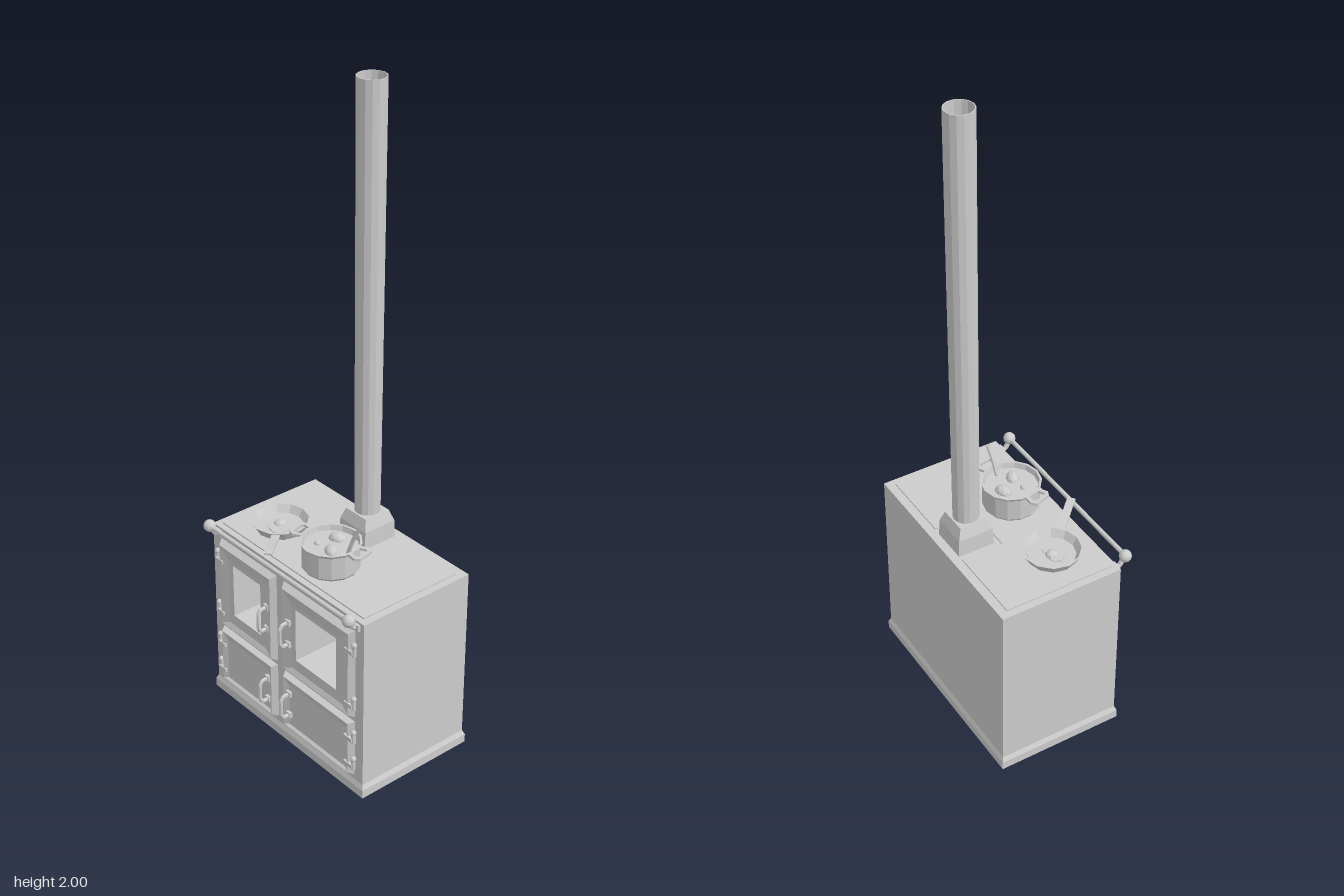
import * as THREE from 'three';

const iron = new THREE.MeshStandardMaterial({ color: 0xcccccc, side: THREE.DoubleSide, flatShading: true });
iron.name = 'grey iron';

// Skin through rectangles [x0, x1, y0, y1, z]; optional cap on the last one
function rectLoft(rows, cap) {
  const loops = rows.map(([a, b, c, d, z]) => [[a, c, z], [b, c, z], [b, d, z], [a, d, z]]);
  const p = [];
  const quad = (a, b, c, d) => p.push(...a, ...b, ...c, ...a, ...c, ...d);
  for (let i = 0; i < loops.length - 1; i++)
    for (let j = 0; j < 4; j++) {
      const k = (j + 1) % 4;
      quad(loops[i][j], loops[i][k], loops[i + 1][k], loops[i + 1][j]);
    }
  if (cap) quad(...loops[loops.length - 1]);
  const g = new THREE.BufferGeometry();
  g.setAttribute('position', new THREE.Float32BufferAttribute(p, 3));
  g.computeVertexNormals();
  return g;
}

function shapeOf(points, Type = THREE.Shape) {
  return new Type(points.map(([x, y]) => new THREE.Vector2(x, y)));
}
const rect = (x0, x1, y0, y1) => [[x0, y0], [x1, y0], [x1, y1], [x0, y1]];

function extrude(points, depth, holes = []) {
  const s = shapeOf(points);
  s.holes = holes.map(h => shapeOf(h, THREE.Path));
  return new THREE.ExtrudeGeometry(s, { depth, bevelEnabled: false });
}

function lathe(points, sides) {
  return new THREE.LatheGeometry(points.map(([r, y]) => new THREE.Vector2(r, y)), sides);
}

function tube(points, radius, sides = 6) {
  const path = new THREE.CurvePath();
  const v = points.map(q => new THREE.Vector3(...q));
  for (let i = 1; i < v.length; i++) path.add(new THREE.LineCurve3(v[i - 1], v[i]));
  return new THREE.TubeGeometry(path, (v.length - 1) * 6, radius, sides);
}

export function createModel() {
  const model = new THREE.Group();
  model.name = 'stove';
  const add = (name, geo, x = 0, y = 0, z = 0, parent = model) => {
    const m = new THREE.Mesh(geo, iron);
    m.name = name;
    m.position.set(x, y, z);
    parent.add(m);
    return m;
  };
  const box = (name, x0, x1, y0, y1, z0, z1) =>
    add(name, new THREE.BoxGeometry(x1 - x0, y1 - y0, z1 - z0), (x0 + x1) / 2, (y0 + y1) / 2, (z0 + z1) / 2);

  // Hollow body, open underneath
  const X = 0.343, ZB = -0.22, ZF = 0.172, H = 0.6;
  const windows = [[-0.238, -0.108, 0.325, 0.503], [0.055, 0.235, 0.325, 0.503]];
  box('backWall', -X, X, 0.01, H, ZB, ZB + 0.008);
  for (const s of [-1, 1]) {
    const a = s * X, b = s * (X - 0.008);
    box('sideWall', Math.min(a, b), Math.max(a, b), 0.01, H, ZB, ZF);
  }
  add('frontWall', extrude(rect(-X, X, 0.01, H), 0.008, windows.map(w => rect(...w))), 0, 0, ZF - 0.008);
  box('topSlab', -X, X, H - 0.01, H, ZB, ZF);

  // Flared plinth
  add('plinth', rectLoft([
    [-0.34, 0.34, -0.17, 0.217, 0], [-0.35, 0.35, -0.178, 0.226, 0],
    [-0.35, 0.35, -0.178, 0.226, 0.027], [-X, X, -ZF, -ZB, 0.042],
  ])).rotation.x = -Math.PI / 2;

  // Cooking plate, notched around the flue
  add('cookingPlate', extrude([[-0.32, -0.153], [0.32, -0.153], [0.32, 0.193], [0.08, 0.193],
    [0.08, 0.06], [-0.075, 0.06], [-0.075, 0.193], [-0.32, 0.193]], 0.004), 0, H, 0).rotation.x = -Math.PI / 2;

  // Bevelled doors: upper ones open into an oven, lower ones are closed
  const zDoor = 0.19;
  [[-0.305, -0.042], [-0.008, 0.308]].forEach(([x0, x1], i) => {
    const w = windows[i];
    add('ovenDoor', rectLoft([
      [x0, x1, 0.265, 0.566, ZF], [x0 + 0.012, x1 - 0.012, 0.275, 0.553, zDoor],
      [x0 + 0.045, x1 - 0.045, 0.29, 0.515, zDoor - 0.008],
      [...w, zDoor - 0.008], [...w, -0.19],
    ], true));
    add('lowerDoor', rectLoft([
      [x0, x1, 0.06, 0.25, ZF], [x0 + 0.012, x1 - 0.012, 0.068, 0.243, zDoor],
      [x0 + 0.03, x1 - 0.03, 0.075, 0.217, zDoor - 0.008],
    ], true));
    // Compartment behind the lower door
    box('lowerCompartment', x0 + 0.005, x1 - 0.005, 0.07, 0.24, -0.16, ZF - 0.008);

    // Handles and hinges
    const hx = i ? 0.026 : -0.074, side = i ? 1 : -1;
    for (const y of [0.408, 0.152]) {
      add('doorHandle', tube([[0, -0.038, 0.175], [0, -0.038, 0.208], [0, -0.026, 0.217],
        [0, 0.026, 0.217], [0, 0.038, 0.208], [0, 0.038, 0.175]], 0.006), hx, y, 0);
      for (const e of [-0.038, 0.038])
        add('handleFoot', new THREE.BoxGeometry(0.018, 0.018, 0.012), hx, y + e, 0.186);
    }
    for (const y of [0.503, 0.318, 0.2, 0.106]) {
      add('hingePin', new THREE.CylinderGeometry(0.007, 0.007, 0.036, 8), side * 0.313, y, 0.182);
      add('hingeCap', new THREE.SphereGeometry(0.009, 8, 6), side * 0.313, y + 0.018, 0.182);
      add('hingeArm', new THREE.BoxGeometry(0.034, 0.012, 0.012), side * 0.297, y - 0.006, 0.186);
    }
  });

  // Towel rail with ball ends
  const rail = add('towelRail', new THREE.CylinderGeometry(0.007, 0.007, 0.62, 10), 0, 0.616, 0.205);
  rail.rotation.z = Math.PI / 2;
  for (const s of [-1, 1]) {
    add('railBall', new THREE.SphereGeometry(0.019, 14, 10), s * 0.316, 0.616, 0.205);
    add('railBracket', tube([[0, 0.583, 0.168], [0, 0.585, 0.188], [0, 0.612, 0.205]], 0.008), s * 0.313, 0, 0);
    add('bracketFoot', new THREE.BoxGeometry(0.03, 0.02, 0.01), s * 0.313, 0.583, 0.176);
  }

  // Flue collar and open chimney pipe
  const flue = [[0.058, H], [0.056, 0.655], [0.044, 0.69], [0.036, 0.69]];
  add('flueCollar', rectLoft(flue.map(([r, y]) => [-r, r, 0.135 - r, 0.135 + r, y]), true)).rotation.x = -Math.PI / 2;
  add('chimneyPipe', lathe([[0.039, 0.685], [0.043, 2], [0.04, 2], [0.036, 0.7]], 14), 0, 0, -0.135);

  // Frying pan with an egg
  const pan = new THREE.Group();
  pan.name = 'fryingPan';
  pan.position.set(-0.193, H + 0.004, 0.036);
  model.add(pan);
  add('panBowl', lathe([[0, 0], [0.074, 0], [0.091, 0.029], [0.084, 0.029], [0.07, 0.006], [0, 0.006]], 12), 0, 0, 0, pan);
  const white = extrude([[0.04, 0], [0.032, 0.024], [0, 0.03], [-0.03, 0.026], [-0.042, 0.004],
    [-0.028, -0.022], [-0.004, -0.032], [0.024, -0.036], [0.042, -0.024]], 0.003);
  add('eggWhite', white, 0, 0.006, 0.008, pan).rotation.x = -Math.PI / 2;
  add('eggYolk', new THREE.SphereGeometry(0.02, 8, 6), -0.005, 0.008, -0.003, pan).scale.y = 0.6;
  const grip = new THREE.Group();
  grip.name = 'panHandle';
  grip.rotation.y = -0.84;
  pan.add(grip);
  const bar = extrude([[0.082, 0.018], [0.11, 0.02], [0.19, 0.035], [0.212, 0.036],
    [0.212, 0.042], [0.188, 0.041], [0.11, 0.027], [0.084, 0.026]], 0.024);
  add('panHandleBar', bar, 0, 0, -0.012, grip);

  // Cooking pot with food and spoon
  const pot = new THREE.Group();
  pot.name = 'cookingPot';
  pot.position.set(0.063, H + 0.004, 0.056);
  model.add(pot);
  add('potBowl', lathe([[0, 0], [0.08, 0], [0.086, 0.008], [0.086, 0.078], [0.091, 0.087],
    [0.084, 0.087], [0.08, 0.07], [0, 0.07]], 14), 0, 0, 0, pot);
  for (const turn of [0.2, Math.PI + 0.27]) {
    const ear = extrude([[0.083, -0.028], [0.112, -0.036], [0.126, -0.026], [0.126, 0.026], [0.112, 0.036], [0.083, 0.028]],
      0.008, [[[0.09, -0.018], [0.11, -0.024], [0.116, -0.018], [0.116, 0.018], [0.11, 0.024], [0.09, 0.018]]]);
    ear.rotateX(-Math.PI / 2);
    add('potHandle', ear, 0, 0.08, 0, pot).rotation.y = turn;
  }
  for (const [x, z, r, turn] of [[-0.014, -0.036, 0.028, 0.35], [0.025, 0.02, 0.027, -0.45], [-0.03, 0.024, 0.013, 0.2]]) {
    const potato = add('potato', new THREE.IcosahedronGeometry(r, 1), x, 0.07, z, pot);
    potato.scale.set(1, 0.7, 0.72);
    potato.rotation.y = turn;
  }
  add('spoonHandle', tube([[0.058, 0.062, -0.012], [0.078, 0.12, -0.017], [0.097, 0.162, -0.022]], 0.006), 0, 0, 0, pot);

  return model;
}
